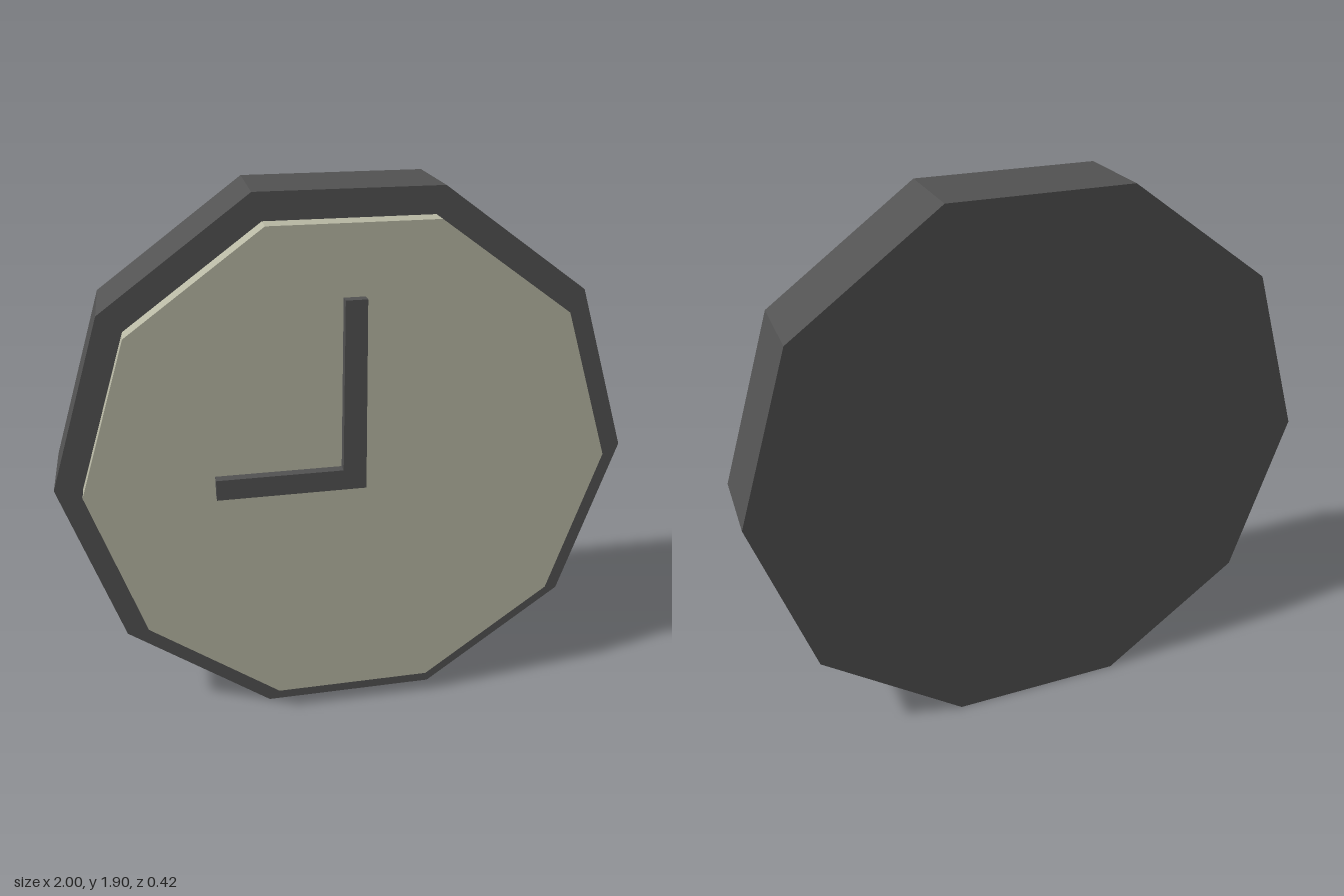
import * as THREE from 'three';

const CENTRE_Y = 0.951;

// Ten-sided disc facing +z, with corners at left and right
function disc(name, radius, zBack, zFront, material) {
  const geometry = new THREE.CylinderGeometry(radius, radius, zFront - zBack, 10, 1, false, Math.PI / 2);
  geometry.rotateX(Math.PI / 2);
  const mesh = new THREE.Mesh(geometry, material);
  mesh.name = name;
  mesh.position.set(0, CENTRE_Y, (zBack + zFront) / 2);
  return mesh;
}

export function createModel() {
  const dark = new THREE.MeshStandardMaterial({ color: 0x525252, flatShading: true });
  dark.name = 'dark grey';
  const cream = new THREE.MeshStandardMaterial({ color: 0xb8b8a4, flatShading: true });
  cream.name = 'pale dial';

  const clock = new THREE.Group();
  clock.name = 'wallClock';

  // Case and raised dial
  clock.add(disc('case', 1, -0.21, 0.1, dark));
  clock.add(disc('dial', 0.905, 0.1, 0.175, cream));

  // Hands joined in an L, showing nine o'clock
  const outline = new THREE.Shape([
    [0.035, 0.918], [0.035, 1.577], [-0.037, 1.577],
    [-0.044, 0.99], [-0.472, 0.99], [-0.472, 0.918],
  ].map(([x, y]) => new THREE.Vector2(x, y)));
  const hands = new THREE.Mesh(
    new THREE.ExtrudeGeometry(outline, { depth: 0.035, bevelEnabled: false }), dark);
  hands.name = 'hands';
  hands.position.z = 0.175;
  clock.add(hands);

  return clock;
}
